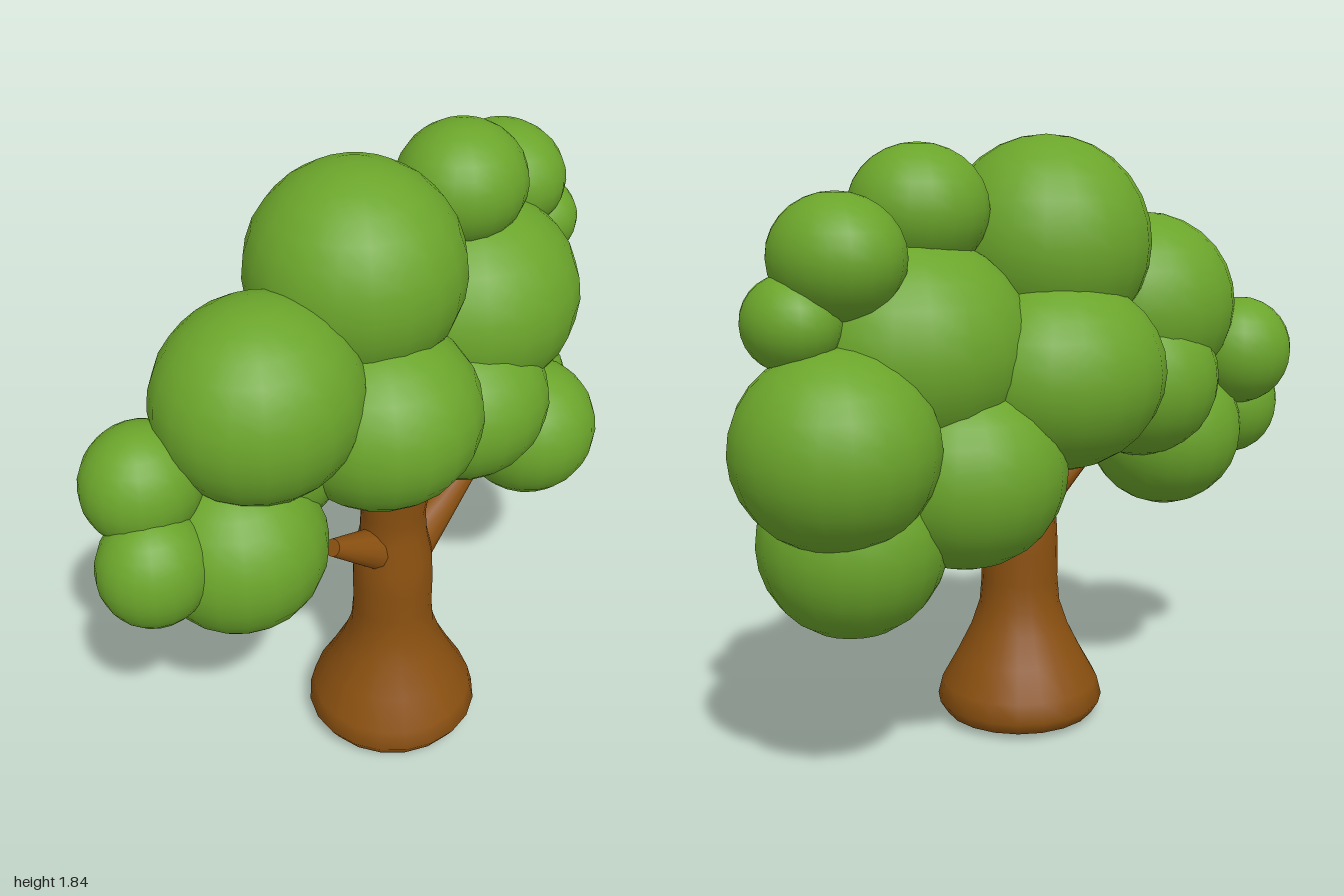
import * as THREE from 'three';

const leafMaterial = new THREE.MeshStandardMaterial({ color: 0x6ba52b });
const barkMaterial = new THREE.MeshStandardMaterial({ color: 0x8a5010 });

// Leaf clumps: name, centre, radii
const CLUMPS = [
  ['crownTop', [-0.06, 1.53, -0.01], [0.31, 0.31, 0.31]],
  ['crownFront', [-0.125, 1.165, 0.14], [0.295, 0.27, 0.3]],
  ['crownBack', [0, 1.17, -0.15], [0.33, 0.28, 0.295]],
  ['upperRight', [-0.46, 1.32, 0.03], [0.3, 0.285, 0.28]],
  ['lowerRight', [-0.58, 0.91, 0.05], [0.25, 0.25, 0.25]],
  ['innerRight', [-0.4, 1.1, -0.04], [0.25, 0.24, 0.24]],
  ['tipRightLow', [-0.84, 0.97, 0.02], [0.16, 0.17, 0.15]],
  ['tipRightHigh', [-0.78, 1.16, -0.08], [0.17, 0.17, 0.16]],
  ['upperLeft', [0.41, 1.26, -0.01], [0.355, 0.32, 0.34]],
  ['topLeftKnob', [0.37, 1.64, -0.01], [0.2, 0.18, 0.19]],
  ['sideLeftKnob', [0.67, 1.53, -0.1], [0.18, 0.17, 0.2]],
  ['smallLeftKnob', [0.79, 1.365, -0.07], [0.13, 0.13, 0.15]],
  ['outerLeft', [0.72, 1.04, -0.16], [0.28, 0.27, 0.28]],
  ['bottomLeft', [0.63, 0.76, -0.07], [0.265, 0.27, 0.26]],
  ['frontLowLeft', [0.54, 0.79, 0.16], [0.22, 0.22, 0.22]],
  ['frontMidLeft', [0.25, 1.02, 0.13], [0.27, 0.24, 0.255]],
  ['backLowLeft', [0.31, 0.92, -0.15], [0.29, 0.27, 0.27]],
];

function addClump(parent, [name, centre, radii]) {
  const mesh = new THREE.Mesh(new THREE.SphereGeometry(1, 20, 14), leafMaterial);
  mesh.name = name + 'Clump';
  mesh.position.set(...centre);
  mesh.scale.set(...radii);
  parent.add(mesh);
}

// Tapered limb running from one point to another
function addBranch(parent, name, from, to, r0, r1) {
  const a = new THREE.Vector3(...from);
  const b = new THREE.Vector3(...to);
  const dir = b.clone().sub(a);
  const mesh = new THREE.Mesh(new THREE.CylinderGeometry(r1, r0, dir.length(), 12, 2), barkMaterial);
  mesh.name = name;
  mesh.position.copy(a).add(b).multiplyScalar(0.5);
  mesh.quaternion.setFromUnitVectors(new THREE.Vector3(0, 1, 0), dir.normalize());
  parent.add(mesh);
}

export function createModel() {
  const tree = new THREE.Group();
  tree.name = 'tree';

  // Trunk with a flared foot
  const profile = [
    [0, 0], [0.2, 0.003], [0.24, 0.02], [0.265, 0.06], [0.25, 0.12], [0.2, 0.21],
    [0.155, 0.3], [0.128, 0.38], [0.121, 0.46], [0.122, 0.56], [0.118, 0.65],
    [0.1, 0.74], [0.096, 0.82], [0.11, 0.92], [0.12, 1.05], [0, 1.05],
  ].map(([r, y]) => new THREE.Vector2(r, y));
  const trunk = new THREE.Mesh(new THREE.LatheGeometry(profile, 20), barkMaterial);
  trunk.name = 'trunk';
  trunk.position.set(-0.09, 0, 0.17);
  tree.add(trunk);

  // Side branches
  addBranch(tree, 'rightBranch', [-0.09, 0.66, 0.17], [-0.34, 0.815, 0.17], 0.08, 0.026);
  addBranch(tree, 'leftBranch', [-0.07, 0.61, 0.17], [0.3, 0.81, 0.17], 0.085, 0.022);

  // Foliage
  const foliage = new THREE.Group();
  foliage.name = 'foliage';
  CLUMPS.forEach((clump) => addClump(foliage, clump));
  tree.add(foliage);

  return tree;
}
